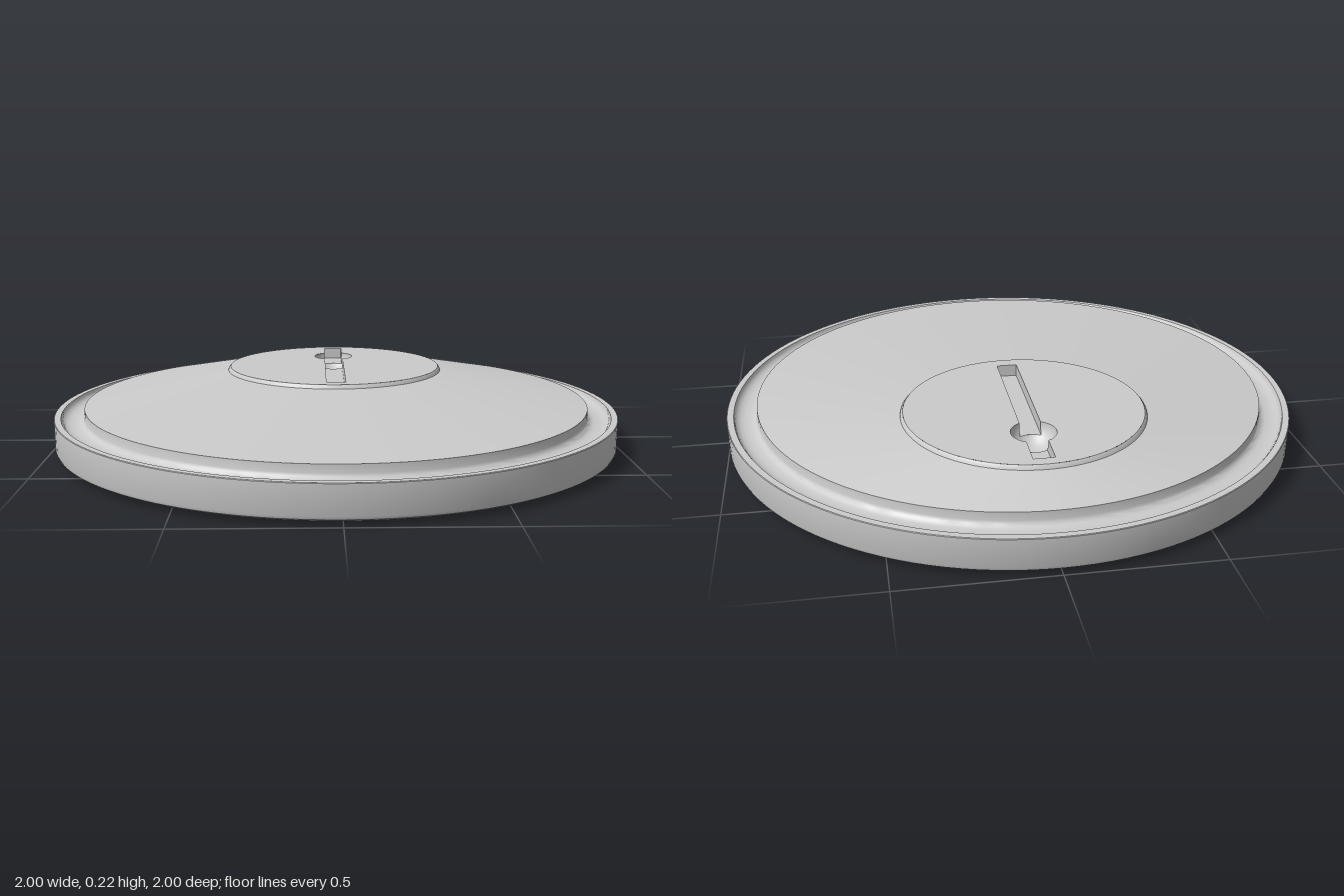
import * as THREE from 'three';
import { mergeVertices, toCreasedNormals } from 'three/addons/utils/BufferGeometryUtils.js';

const SEG = 128;
const solid = new THREE.MeshStandardMaterial({ color: 0xcccccc });
const thin = new THREE.MeshStandardMaterial({ color: 0xcccccc, side: THREE.DoubleSide });

// Raised disc, slot and round recess dimensions
const TOP = 0.218, DISC_Z = -0.325, DISC_R = 0.404, DISC_BASE = 0.413;
const W = 0.035, FRONT = -0.03, BACK = 0.69, DEPTH = 0.042; // slot, measured along -z
const HOLE = 0.51, R = 0.075;                               // round recess

const v2 = (pts) => pts.map(([x, y]) => new THREE.Vector2(x, y));

function add(parent, name, geometry, material = solid) {
  const mesh = new THREE.Mesh(geometry, material);
  mesh.name = name;
  parent.add(mesh);
  return mesh;
}

const lathe = (pts) => toCreasedNormals(new THREE.LatheGeometry(v2(pts), SEG), 0.6);
const flat = (shape, y) => new THREE.ShapeGeometry(shape, 48).rotateX(-Math.PI / 2).translate(0, y, 0);

// Ring whose upper edge slides towards the back
function skewedDome() {
  const lowR = 0.895, pts = [];
  for (let i = 0; i <= 8; i++) {
    const t = i / 8;
    pts.push([THREE.MathUtils.lerp(lowR, DISC_BASE, t), THREE.MathUtils.lerp(0.155, 0.204, t)]);
  }
  let g = new THREE.LatheGeometry(v2(pts), SEG);
  const p = g.attributes.position;
  for (let i = 0; i < p.count; i++) {
    const r = Math.hypot(p.getX(i), p.getZ(i));
    p.setZ(i, p.getZ(i) + DISC_Z * (lowR - r) / (lowR - DISC_BASE));
  }
  g.deleteAttribute('uv');
  g.deleteAttribute('normal');
  g = mergeVertices(g, 1e-5);
  g.computeVertexNormals();
  return g;
}

// Flat disc face with the slot and round recess cut out
function discFace() {
  const shape = new THREE.Shape().absarc(0, -DISC_Z, DISC_R, 0, Math.PI * 2, false);
  const a = Math.acos(W / R);
  const hole = new THREE.Path();
  hole.moveTo(-W, FRONT).lineTo(W, FRONT);
  hole.absarc(0, HOLE, R, -a, a, false);
  hole.lineTo(W, BACK).lineTo(-W, BACK);
  hole.absarc(0, HOLE, R, Math.PI - a, Math.PI + a, false);
  hole.lineTo(-W, FRONT);
  shape.holes.push(hole);
  return flat(shape, TOP);
}

// Part of the bowl beside the slot, above the slot floor
function bowlSide(side) {
  const g = new THREE.PlaneGeometry(1, 1, 24, 8);
  const p = g.attributes.position;
  for (let i = 0; i < p.count; i++) {
    const d = DEPTH * (0.5 - p.getY(i));
    const r = Math.sqrt(R * R - d * d);
    const ang = 2 * p.getX(i) * Math.acos(W / r);
    p.setXYZ(i, side * r * Math.cos(ang), TOP - d, -HOLE + r * Math.sin(ang));
  }
  // Keep the inside of the bowl as the front face
  if (side > 0) g.setIndex([...g.index.array].reverse());
  g.computeVertexNormals();
  return g;
}

function createSlot() {
  const slot = new THREE.Group();
  slot.name = 'slot';

  // Floor on both sides of the recess
  const rF = Math.sqrt(R * R - DEPTH * DEPTH), b = Math.acos(W / rF);
  const frontFloor = new THREE.Shape();
  frontFloor.moveTo(-W, FRONT).lineTo(W, FRONT);
  frontFloor.absarc(0, HOLE, rF, -b, b - Math.PI, true);
  const backFloor = new THREE.Shape();
  backFloor.moveTo(W, BACK).lineTo(-W, BACK);
  backFloor.absarc(0, HOLE, rF, Math.PI - b, b, true);
  add(slot, 'slotFloorFront', flat(frontFloor, TOP - DEPTH), thin);
  add(slot, 'slotFloorBack', flat(backFloor, TOP - DEPTH), thin);

  // Long walls, ending where they meet the bowl
  const rW = Math.sqrt(R * R - W * W), c = Math.asin(DEPTH / rW);
  const frontWall = new THREE.Shape();
  frontWall.moveTo(FRONT, TOP - DEPTH).lineTo(FRONT, TOP);
  frontWall.absarc(HOLE, TOP, rW, Math.PI, Math.PI + c, false);
  const backWall = new THREE.Shape();
  backWall.moveTo(BACK, TOP).lineTo(BACK, TOP - DEPTH);
  backWall.absarc(HOLE, TOP, rW, -c, 0, false);
  for (const side of [-1, 1]) {
    for (const wall of [frontWall, backWall]) {
      const g = new THREE.ShapeGeometry(wall, 12).rotateY(Math.PI / 2).translate(side * W, 0, 0);
      add(slot, 'slotSideWall', g, thin);
    }
    add(slot, 'recessSide', bowlSide(side), thin);
  }

  // End walls
  for (const u of [FRONT, BACK]) {
    add(slot, 'slotEndWall', new THREE.PlaneGeometry(2 * W, DEPTH).translate(0, TOP - DEPTH / 2, -u), thin);
  }

  // Bowl bottom, below the slot floor
  const cap = [], start = Math.asin(DEPTH / R);
  for (let i = 0; i <= 10; i++) {
    const e = THREE.MathUtils.lerp(start, Math.PI / 2, i / 10);
    cap.push([Math.max(0, R * Math.cos(e)), -R * Math.sin(e)]);
  }
  add(slot, 'recessBottom', new THREE.LatheGeometry(v2(cap), 48).translate(0, TOP, -HOLE), thin);
  return slot;
}

export function createModel() {
  const model = new THREE.Group();
  model.name = 'lid';

  // Pan: gently bulging underside, upright rim, rounded channel, dome skirt
  add(model, 'basePan', lathe([
    [0, 0], [0.24, 0.001], [0.6, 0.004], [0.93, 0.009], [0.965, 0.011], [0.985, 0.015],
    [0.996, 0.022], [1, 0.032], [1, 0.128], [0.998, 0.13], [0.976, 0.13],
    [0.973, 0.122], [0.966, 0.114], [0.955, 0.109], [0.94, 0.107],
    [0.918, 0.108], [0.906, 0.112], [0.899, 0.119], [0.896, 0.128], [0.895, 0.155],
  ]));

  add(model, 'offsetDome', skewedDome());

  // Raised disc
  const edge = lathe([[DISC_BASE, 0.204], [0.411, 0.21], [DISC_R, TOP]]);
  add(model, 'discEdge', edge.translate(0, 0, DISC_Z));
  add(model, 'discFace', discFace());
  model.add(createSlot());

  return model;
}
